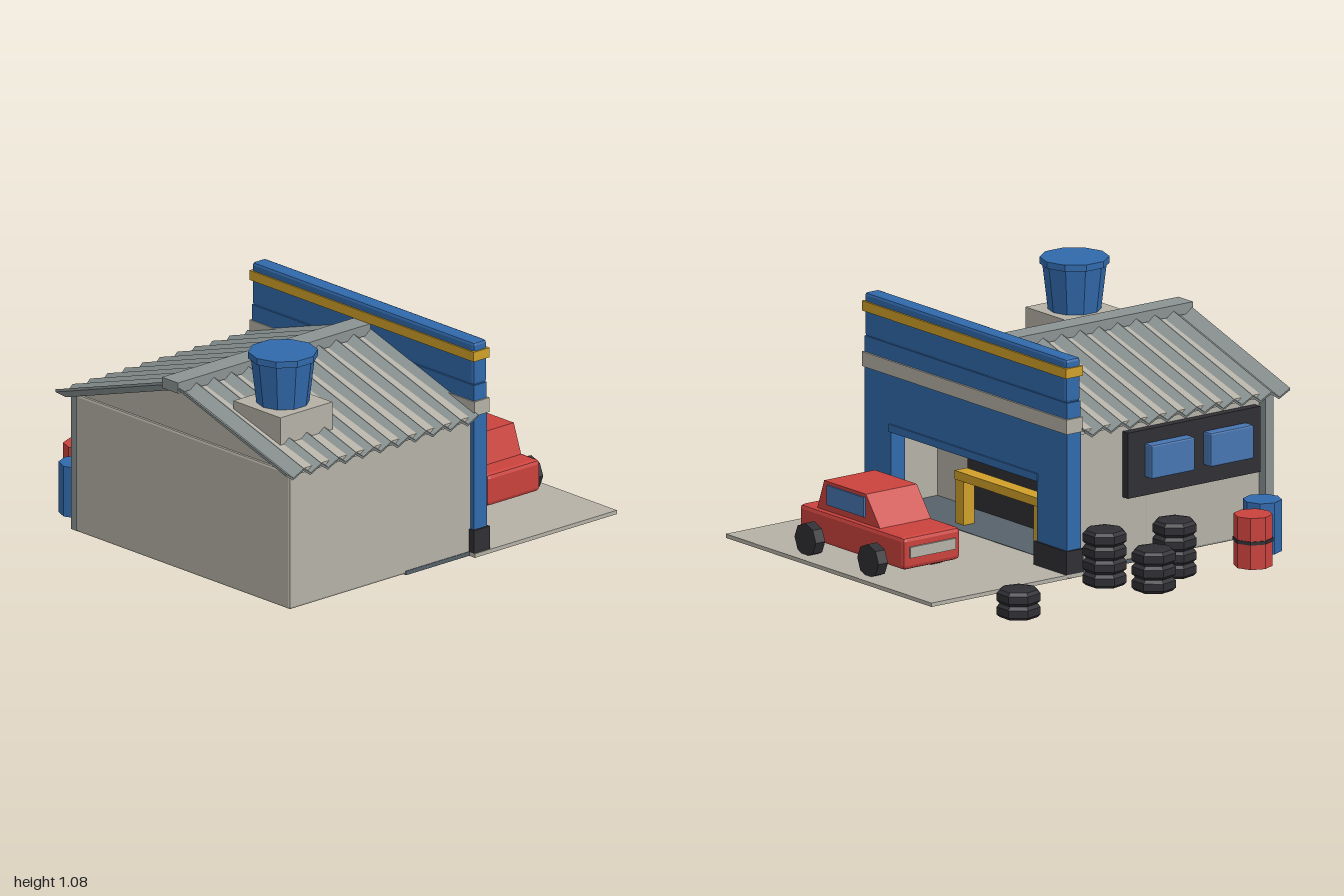
import * as THREE from 'three';
import { RoundedBoxGeometry } from 'three/addons/geometries/RoundedBoxGeometry.js';

const mat = (name, color, side = THREE.FrontSide) =>
  new THREE.MeshStandardMaterial({ name, color, side, flatShading: true });

export function createModel() {
  const root = new THREE.Group();
  root.name = 'garage';
  const M = {
    wall: mat('concrete', 0xb5b1a6),
    blue: mat('blue paint', 0x3169ab),
    red: mat('red paint', 0xca423d),
    black: mat('rubber black', 0x302f34),
    gold: mat('yellow paint', 0xd0a029),
    metal: mat('roof metal', 0x8b9393, THREE.DoubleSide),
    floor: mat('workshop floor', 0x56626a),
    glass: mat('window blue', 0x4675b0),
  };

  const add = (name, geo, material, x = 0, y = 0, z = 0, parent = root) => {
    const m = new THREE.Mesh(geo, material);
    m.name = name;
    m.position.set(x, y, z);
    parent.add(m);
    return m;
  };
  // Box given by its limits on each axis, optionally with a small bevel
  const box = (name, material, [x0, x1], [y0, y1], [z0, z1], bevel = 0, parent = root) => {
    const s = [x1 - x0, y1 - y0, z1 - z0];
    const geo = bevel ? new RoundedBoxGeometry(...s, 1, bevel) : new THREE.BoxGeometry(...s);
    return add(name, geo, material, (x0 + x1) / 2, (y0 + y1) / 2, (z0 + z1) / 2, parent);
  };
  // Side profile in x and y, extruded between two z values
  const prism = (name, material, pts, z0, z1, parent = root) => {
    const shape = new THREE.Shape(pts.map(p => new THREE.Vector2(...p)));
    const geo = new THREE.ExtrudeGeometry(shape, { depth: z1 - z0, bevelEnabled: false });
    return add(name, geo, material, 0, 0, z0, parent);
  };

  // Ground and building shell
  box('forecourt', M.wall, [-0.515, 0.96], [0, 0.018], [-1, -0.15]);
  box('workshopFloor', M.floor, [-0.475, 0.925], [0.001, 0.02], [-0.15, 0.23]);
  box('rearBuilding', M.wall, [-0.475, 0.925], [0.005, 0.65], [0.225, 0.925], 0.012);
  box('sideWall', M.wall, [0.89, 0.922], [0.002, 0.65], [-0.16, 0.23]);
  box('sideWall', M.wall, [-0.472, -0.44], [0.002, 0.65], [-0.16, 0.23]);
  box('innerWall', M.wall, [-0.44, 0.89], [0.02, 0.65], [0.13, 0.225]);
  box('innerDoor', M.black, [-0.05, 0.66], [0.02, 0.33], [0.12, 0.13]);
  box('downpipe', M.metal, [-0.52, -0.475], [0.002, 0.66], [0.865, 0.91]);
  prism('gable', M.wall, [[-0.495, 0.64], [0.945, 0.64], [0.945, 0.66], [0.22, 0.875], [-0.495, 0.66]], -0.155, 0.915);

  // Corrugated roof: zigzag sheet section extruded down each slope
  const half = 0.575, steps = 22, amp = 0.018;
  const zig = Array.from({ length: steps + 1 }, (_, i) =>
    [-half + (2 * half * i) / steps, i % 2 ? -amp : amp]);
  const section = new THREE.Shape([
    ...zig.map(([u, h]) => new THREE.Vector2(u, h - 0.012)),
    ...zig.slice().reverse().map(([u, h]) => new THREE.Vector2(u, h)),
  ]);
  for (const s of [-1, 1]) {
    const geo = new THREE.ExtrudeGeometry(section, { depth: 0.785, bevelEnabled: false });
    geo.rotateX(0.302);
    geo.rotateY((s * Math.PI) / 2);
    add('roofSheet', geo, M.metal, 0.22, 0.888, 0.417);
  }
  box('ridgeCap', M.metal, [0.168, 0.273], [0.865, 0.915], [-0.155, 0.997]);

  // Facade with pillars, header, sign panel and stripes
  for (const [x0, x1] of [[-0.505, -0.29], [0.755, 0.945]]) {
    box('pillar', M.blue, [x0, x1], [0.01, 0.67], [-0.235, -0.157]);
    box('pillarBase', M.black, [x0 - 0.01, x1 + 0.01], [-0, 0.125], [-0.245, -0.15]);
  }
  box('header', M.blue, [-0.505, 0.945], [0.41, 0.8], [-0.234, -0.158]);
  box('lintel', M.blue, [-0.3, 0.765], [0.4, 0.435], [-0.242, -0.155]);
  box('signPanel', M.blue, [-0.505, 0.945], [0.798, 1], [-0.237, -0.157], 0.014);
  box('yellowStripe', M.gold, [-0.512, 0.952], [0.915, 0.96], [-0.245, -0.15]);
  box('paleStripe', M.wall, [-0.514, 0.954], [0.66, 0.727], [-0.243, -0.152]);

  // Car lift inside the workshop
  for (const x of [-0.11, 0.45]) box('liftPost', M.gold, [x - 0.03, x + 0.03], [0, 0.25], [-0.09, -0.03]);
  box('liftBeam', M.gold, [-0.14, 0.48], [0.22, 0.26], [-0.095, -0.025]);

  // Side windows on a dark surround
  box('windowSurround', M.black, [-0.515, -0.475], [0.31, 0.61], [0.1, 0.84]);
  for (const z of [0.19, 0.52]) box('window', M.glass, [-0.57, -0.514], [0.395, 0.55], [z, z + 0.242], 0.008);

  // Water tank on the roof
  const tank = new THREE.Group();
  tank.name = 'waterTank';
  tank.position.set(0.612, 0, 0.68);
  root.add(tank);
  box('tankBase', M.wall, [-0.153, 0.153], [0.7, 0.842], [-0.155, 0.155], 0, tank);
  add('tankBody', new THREE.CylinderGeometry(0.143, 0.118, 0.21, 10), M.blue, 0, 0.947, 0, tank);
  add('tankLid', new THREE.CylinderGeometry(0.155, 0.155, 0.03, 10), M.blue, 0, 1.065, 0, tank);

  // Oil drums
  const drum = (material, x, z) => {
    add('drum', new THREE.CylinderGeometry(0.087, 0.087, 0.235, 8), material, x, 0.1185, z);
    return [x, z];
  };
  const [rx, rz] = drum(M.red, -0.835, 0.55);
  add('drumBand', new THREE.CylinderGeometry(0.091, 0.091, 0.016, 8), M.black, rx, 0.122, rz);
  drum(M.blue, -0.665, 0.735);

  // Stacks of seven-sided tyres: x, z, number of tyres
  const tyreProfile = [[0, 0], [0.085, 0], [0.1, 0.014], [0.1, 0.048], [0.085, 0.062], [0.05, 0.067], [0, 0.067]]
    .map(p => new THREE.Vector2(...p));
  const tyre = new THREE.LatheGeometry(tyreProfile, 7);
  for (const [x, z, n] of [[-0.87, -0.79, 2], [-0.68, -0.16, 4], [-0.885, -0.045, 3], [-0.745, 0.18, 4]]) {
    for (let i = 0; i < n; i++) add('tyre', tyre, M.black, x, i * 0.063, z);
  }

  // Car
  const car = new THREE.Group();
  car.name = 'car';
  root.add(car);
  box('carBody', M.red, [-0.125, 0.625], [0.055, 0.205], [-0.852, -0.532], 0.02, car);
  prism('carCabin', M.red, [[0.065, 0.2], [0.52, 0.2], [0.47, 0.34], [0.17, 0.34]], -0.832, -0.548, car);
  box('carWindow', M.glass, [0.175, 0.44], [0.235, 0.325], [-0.841, -0.832], 0, car);
  box('carGrille', M.wall, [-0.134, -0.124], [0.11, 0.16], [-0.82, -0.565], 0, car);
  const wheel = new THREE.CylinderGeometry(0.077, 0.077, 0.052, 8);
  wheel.rotateX(Math.PI / 2);
  for (const x of [0.02, 0.47]) {
    for (const z of [-0.912, -0.58]) add('carWheel', wheel, M.black, x, 0.085, z, car);
  }
  return root;
}
